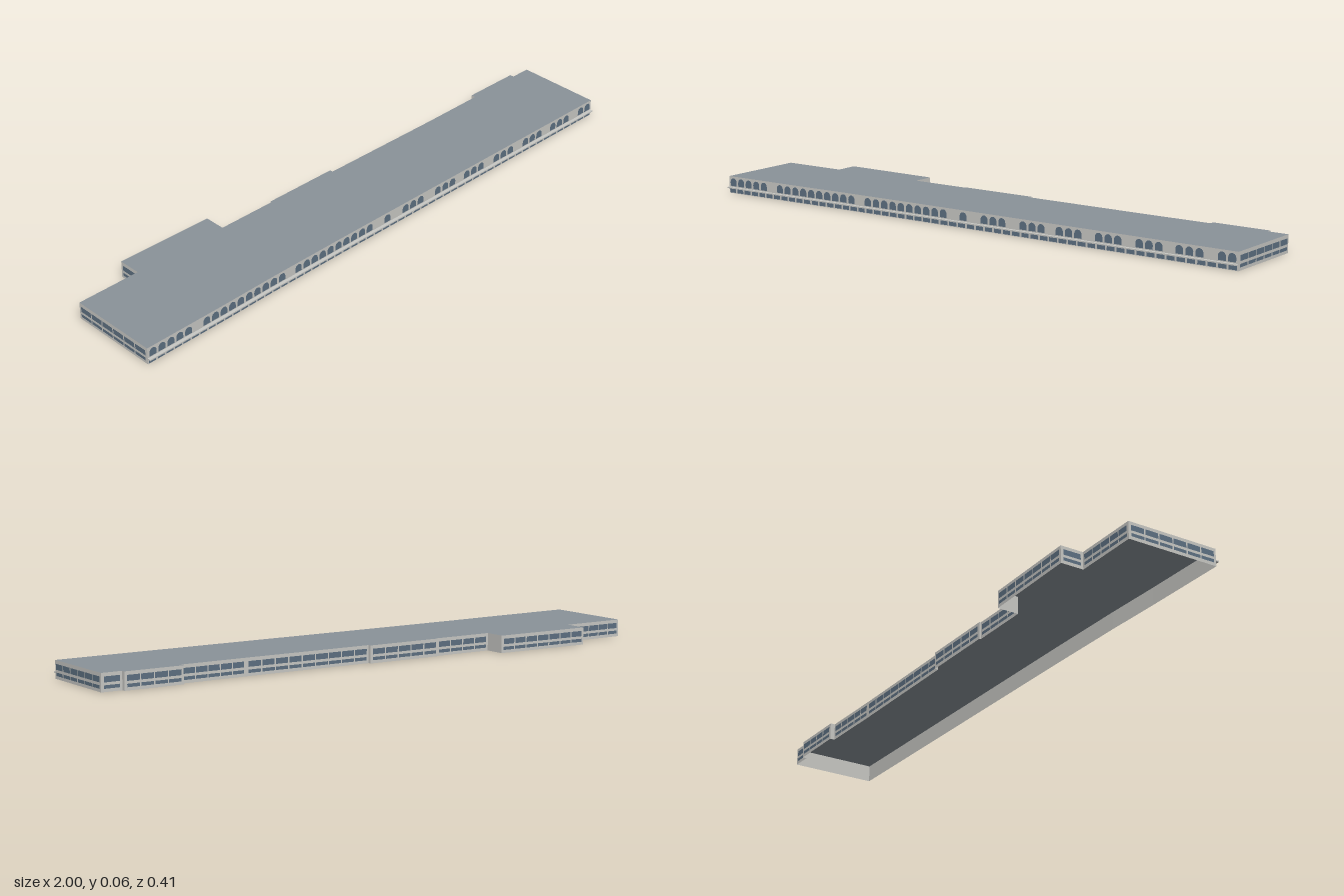
import * as THREE from 'three';
import { mergeGeometries } from 'three/addons/utils/BufferGeometryUtils.js';

const HEIGHT = 0.058;
const PLATE = 0.0012; // how far glazing stands off the wall

// Footprint corners [x, z], walked so that the outside is on the right hand
const front = [[-1, 0.19], [-0.7, 0.186], [-0.5, 0.181], [-0.2, 0.178], [1, 0.175]];
const rear = [
  [1, -0.121], [0.93, -0.121], [0.93, -0.135], [0.73, -0.135], [0.73, -0.119], [0.5, -0.117],
  [0.045, -0.119], [0.045, -0.13], [-0.22, -0.13], [-0.22, -0.125], [-0.43, -0.125],
  [-0.43, -0.198], [-0.775, -0.204], [-0.775, -0.125], [-1, -0.125],
];

// Upper arches: [first centre x, count]
const archGroups = [
  [-0.98, 5], [-0.77, 10], [-0.39, 10], [0, 1], [0.083, 3], [0.233, 3],
  [0.37, 3], [0.515, 3], [0.66, 3], [0.8, 3], [0.945, 2],
];

export function createModel() {
  const root = new THREE.Group();
  root.name = 'longBuilding';

  const paint = (name, color) => {
    const m = new THREE.MeshStandardMaterial({ color, side: THREE.DoubleSide });
    m.name = name;
    return m;
  };
  const stone = paint('paleStone', 0xc8c8c4);
  const glass = paint('blueGreyGlass', 0x5d7082);
  const slate = paint('greyRoof', 0x8a9299);

  const add = (parent, name, geometry, material) => {
    const mesh = new THREE.Mesh(geometry, material);
    mesh.name = name;
    parent.add(mesh);
  };

  const pane = (x, y, w, h) =>
    new THREE.PlaneGeometry(w, h).translate(x, y + h / 2, PLATE);

  // Arched window standing on height y
  const arch = (x, y, w, h) => {
    const r = w / 2;
    const s = new THREE.Shape();
    s.moveTo(-r, 0);
    s.lineTo(r, 0);
    s.lineTo(r, h - r);
    s.absarc(0, h - r, r, 0, Math.PI);
    s.lineTo(-r, 0);
    return new THREE.ShapeGeometry(s, 5).translate(x, y, PLATE);
  };

  // Wall between two corners: local x runs along it and local z points outward
  const wall = (a, b, name) => {
    const dx = b[0] - a[0], dz = b[1] - a[1];
    const length = Math.hypot(dx, dz);
    const group = new THREE.Group();
    group.name = name;
    group.position.set(a[0], 0, a[1]);
    group.rotation.y = Math.atan2(-dz, dx);
    add(group, 'wallFace',
      new THREE.PlaneGeometry(length, HEIGHT).translate(length / 2, HEIGHT / 2, 0), stone);
    root.add(group);
    return { group, length };
  };

  // Front: shop windows below a projecting ledge, arches above
  const arches = archGroups.flatMap(([x, n]) => Array.from({ length: n }, (_, i) => x + i * 0.0345));
  for (let i = 0; i < front.length - 1; i++) {
    const a = front[i], b = front[i + 1];
    const { group, length } = wall(a, b, 'frontWall');
    const glazing = arches.filter((x) => x >= a[0] && x < b[0])
      .map((x) => arch(x - a[0], 0.025, 0.027, 0.027));
    const n = Math.round(length / 0.035), pitch = length / n;
    for (let k = 0; k < n; k++) glazing.push(pane((k + 0.5) * pitch, 0.002, pitch * 0.8, 0.014));
    add(group, 'frontWindows', mergeGeometries(glazing.map((g) => g.toNonIndexed())), glass);
    add(group, 'ledge',
      new THREE.BoxGeometry(length, 0.004, 0.011).translate(length / 2, 0.0195, 0.0055), stone);
  }

  // Ends and rear: two rows of wide windows on every wall long enough
  const outline = [front[front.length - 1], ...rear, front[0]];
  for (let i = 0; i < outline.length - 1; i++) {
    const a = outline[i], b = outline[i + 1];
    const { group, length } = wall(a, b, 'outerWall');
    const blank = a[0] === -0.43 && b[0] === -0.43;
    if (length < 0.04 || blank) continue;
    const margin = 0.006;
    const n = Math.max(1, Math.round((length - 2 * margin) / 0.047));
    const pitch = (length - 2 * margin) / n;
    const panes = [];
    for (let k = 0; k < n; k++) {
      const x = margin + (k + 0.5) * pitch;
      panes.push(pane(x, 0.01, pitch * 0.91, 0.0105), pane(x, 0.029, pitch * 0.91, 0.018));
    }
    add(group, 'wideWindows', mergeGeometries(panes), glass);
  }

  // Flat roof over the whole footprint
  const plan = new THREE.Shape([...front, ...rear].map(([x, z]) => new THREE.Vector2(x, -z)));
  add(root, 'flatRoof',
    new THREE.ShapeGeometry(plan).rotateX(-Math.PI / 2).translate(0, HEIGHT, 0), slate);

  return root;
}
